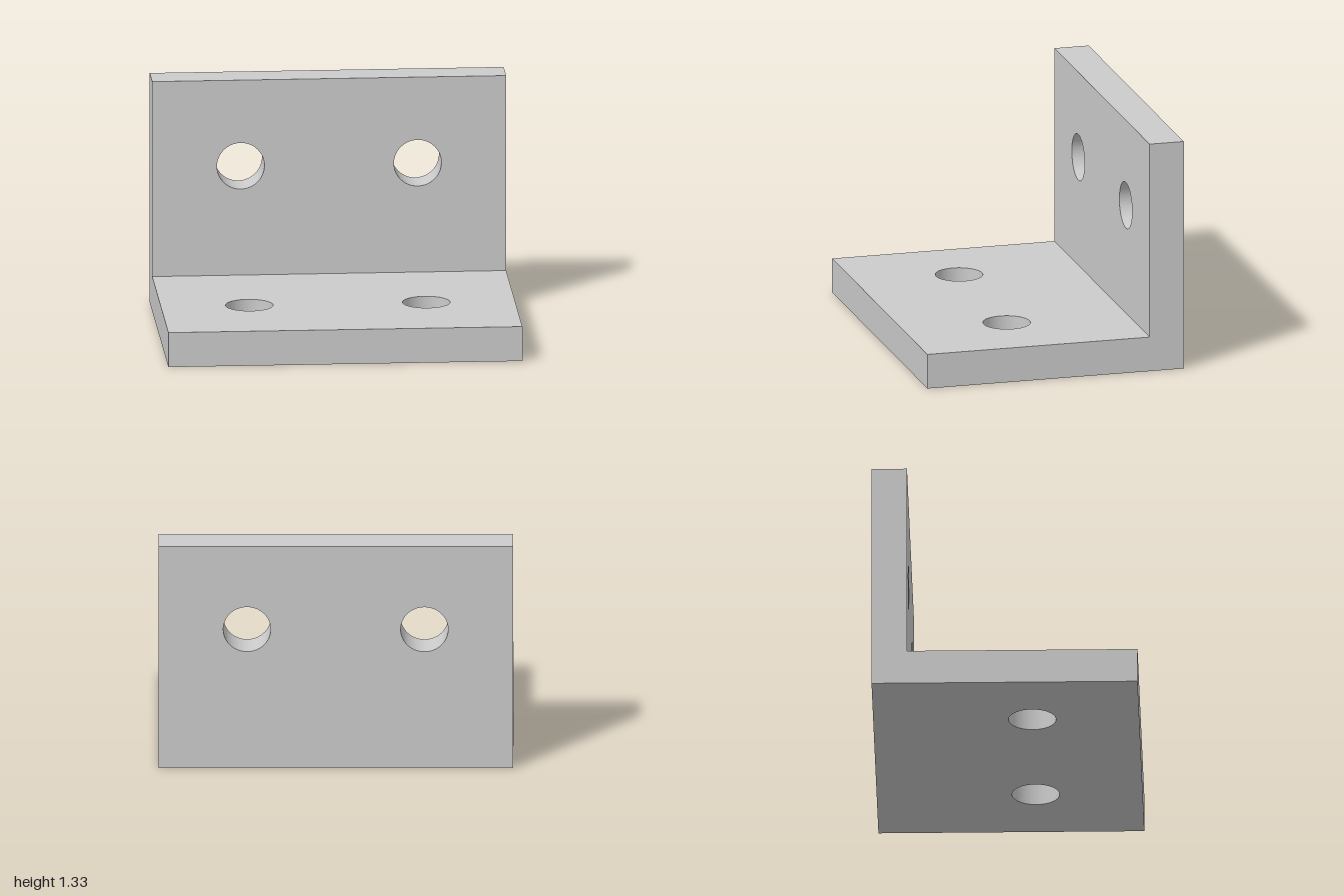
import * as THREE from 'three';
import { toCreasedNormals } from 'three/addons/utils/BufferGeometryUtils.js';

const WIDTH = 2, THICK = 0.2, HEIGHT = 1.333, DEPTH = 1.5;
const HOLE_R = 0.134, HOLE_X = 0.5;

// Plate rising from the bend line (y = 0), outer face at z = 0, with two holes.
// Its lower end is mitred at 45 degrees and left open where the plates join.
function plateGeometry(length, holeY) {
  const w = WIDTH / 2;
  const shape = new THREE.Shape([
    new THREE.Vector2(-w, 0), new THREE.Vector2(w, 0),
    new THREE.Vector2(w, length), new THREE.Vector2(-w, length),
  ]);
  for (const x of [-HOLE_X, HOLE_X]) {
    shape.holes.push(new THREE.Path().absarc(x, holeY, HOLE_R, 0, Math.PI * 2, true));
  }
  const extruded = new THREE.ExtrudeGeometry(shape, { depth: THICK, bevelEnabled: false, curveSegments: 64 });
  const pos = extruded.attributes.position;

  // Mitre: pull the inner edge up by the thickness
  for (let i = 0; i < pos.count; i++) {
    if (pos.getY(i) < 1e-6) pos.setY(i, pos.getZ(i));
  }

  // Drop the hidden faces lying in the mitre plane
  const kept = [];
  for (let i = 0; i < pos.count; i += 3) {
    const corners = [i, i + 1, i + 2];
    if (corners.every((j) => Math.abs(pos.getY(j) - pos.getZ(j)) < 1e-6)) continue;
    for (const j of corners) kept.push(pos.getX(j), pos.getY(j), pos.getZ(j));
  }
  const geometry = new THREE.BufferGeometry();
  geometry.setAttribute('position', new THREE.Float32BufferAttribute(kept, 3));
  geometry.computeVertexNormals();
  return toCreasedNormals(geometry, 0.5); // smooth bores, sharp edges
}

export function createModel() {
  const group = new THREE.Group();
  group.name = 'angleBracket';
  const material = new THREE.MeshStandardMaterial({ color: 0xcccccc });

  // Upright plate at the back
  const upright = new THREE.Mesh(plateGeometry(HEIGHT, 0.834), material);
  upright.name = 'uprightPlate';
  upright.position.z = -DEPTH / 2;

  // Base plate: half turn about the bend's diagonal swaps height and depth
  const base = new THREE.Mesh(plateGeometry(DEPTH, DEPTH / 2 + 0.147), material);
  base.name = 'basePlate';
  base.quaternion.setFromAxisAngle(new THREE.Vector3(0, 1, 1).normalize(), Math.PI);
  base.position.z = -DEPTH / 2;

  group.add(upright, base);
  return group;
}
